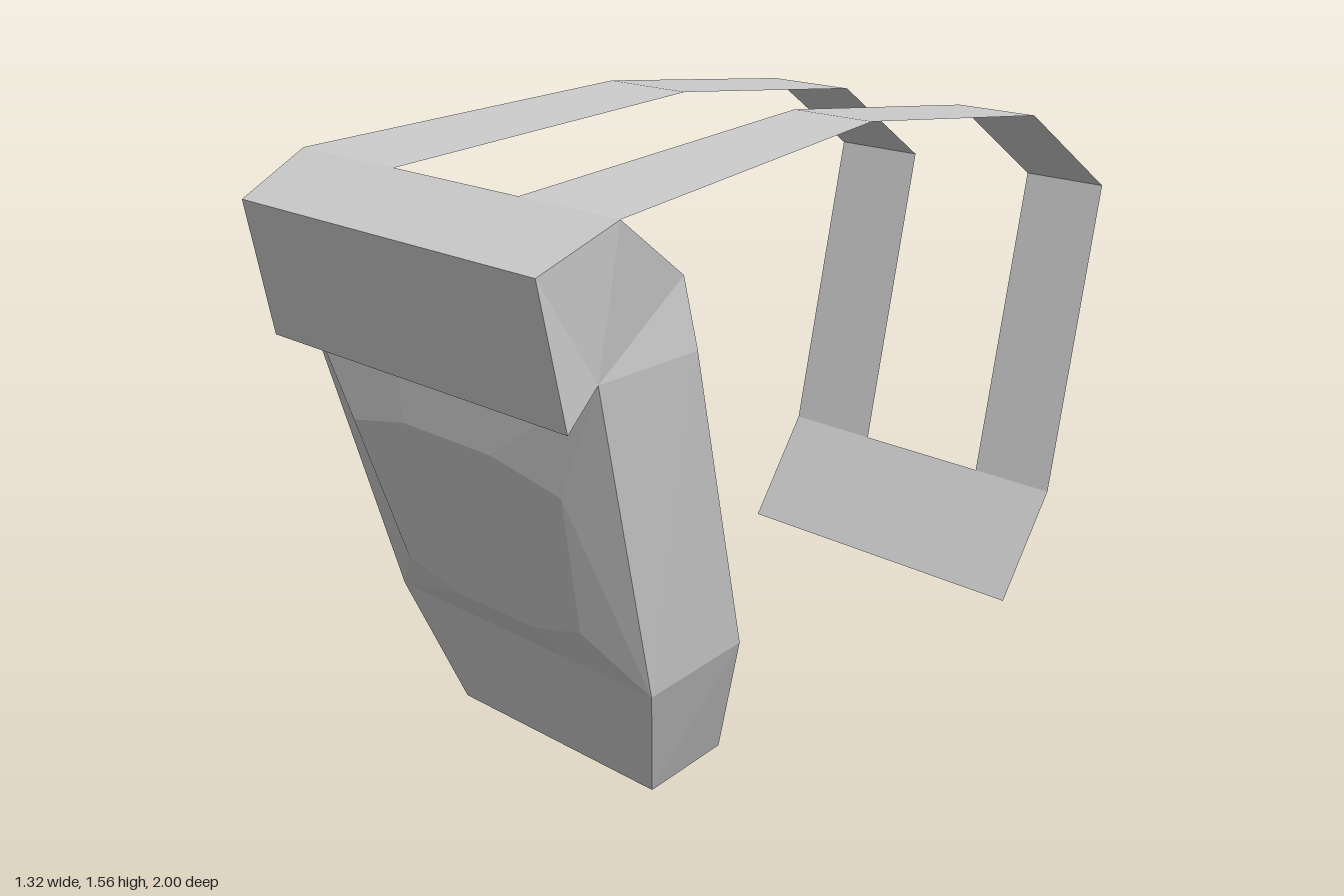
import * as THREE from 'three';

const sheet = new THREE.MeshStandardMaterial({ color: 0xcccccc, flatShading: true, side: THREE.DoubleSide });
const solid = new THREE.MeshStandardMaterial({ color: 0xcccccc, flatShading: true });

// Builds a faceted mesh from polygons, each fanned from its first corner
function polyMesh(name, polygons, material) {
  const pos = [];
  for (const p of polygons)
    for (let i = 1; i < p.length - 1; i++) pos.push(...p[0], ...p[i], ...p[i + 1]);
  const geo = new THREE.BufferGeometry();
  geo.setAttribute('position', new THREE.Float32BufferAttribute(pos, 3));
  geo.computeVertexNormals();
  const mesh = new THREE.Mesh(geo, material);
  mesh.name = name;
  return mesh;
}

// Ribbon through rows of [xMin, xMax, y, z]
function ribbon(name, rows) {
  const quads = [];
  for (let i = 0; i < rows.length - 1; i++) {
    const [a0, a1, ay, az] = rows[i], [b0, b1, by, bz] = rows[i + 1];
    quads.push([[a0, ay, az], [a1, ay, az], [b1, by, bz], [b0, by, bz]]);
  }
  return polyMesh(name, quads, sheet);
}

export function createModel() {
  const group = new THREE.Group();

  // Side outline of the pouch, rows of [xMin, xMax, y, z], from the front bottom edge round the back
  const rows = [
    [-0.40, 0.39, 0, 0.54],
    [-0.40, 0.39, 0.06, 0.335],
    [-0.555, 0.535, 0.38, 0.39],
    [-0.66, 0.63, 1.13, 0.59],
    [-0.64, 0.62, 1.30, 0.62],
    [-0.64, 0.66, 1.45, 0.82],
    [-0.635, 0.605, 1.34, 1.0],
    [-0.635, 0.605, 0.99, 0.925],
    [-0.63, 0.615, 1.09, 0.85],
    [-0.53, 0.52, 0.30, 0.64],
  ];
  const R = rows.map(([, x, y, z]) => [x, y, z]);
  const L = rows.map(([x, , y, z]) => [x, y, z]);

  // Pouch shell: strips across the width, leaving the front open for the bulging panel
  const shell = [];
  for (let i = 0; i < rows.length; i++) {
    if (i === 8) continue;
    const j = (i + 1) % rows.length;
    shell.push([R[i], L[i], L[j], R[j]]);
  }
  // Pouch and flap side walls
  for (const side of [[0, 1, 2, 9], [9, 2, 3, 8], [8, 3, 4, 5], [8, 5, 6, 7]]) {
    shell.push(side.map(i => R[i]));
    shell.push(side.map(i => L[i]).reverse());
  }
  group.add(polyMesh('pouch', shell, solid));

  // Front panel: outer rim joined to a raised inner octagon
  const outer = [
    L[8], L[9], [-0.18, 0.30, 0.64], [0.165, 0.30, 0.64],
    R[9], R[8], [0.19, 1.09, 0.85], [-0.21, 1.09, 0.85],
  ];
  const inner = [
    [-0.45, 0.79, 0.82], [-0.37, 0.43, 0.722], [-0.16, 0.385, 0.71], [0.15, 0.385, 0.71],
    [0.36, 0.43, 0.722], [0.43, 0.79, 0.82], [0.17, 0.835, 0.832], [-0.20, 0.835, 0.832],
  ];
  const panel = [inner];
  for (let i = 0; i < 8; i++) {
    const j = (i + 1) % 8;
    panel.push([outer[i], outer[j], inner[j], inner[i]]);
  }
  group.add(polyMesh('frontPanel', panel, solid));

  // Shoulder straps run back over the top, then down to the cross strap
  const path = [[1.45, 0.82], [1.56, -0.04], [1.50, -0.73], [1.29, -1.0], [0.475, -0.83]];
  const widths = {
    leftStrap: [[0.29, 0.66], [0.225, 0.50], [0.10, 0.37], [0.10, 0.37], [0.10, 0.37]],
    rightStrap: [[-0.64, -0.22], [-0.51, -0.20], [-0.645, -0.34], [-0.645, -0.34], [-0.645, -0.34]],
  };
  for (const [name, w] of Object.entries(widths))
    group.add(ribbon(name, path.map((p, i) => [...w[i], ...p])));

  // Cross strap behind the back
  group.add(ribbon('crossStrap', [[-0.645, 0.37, 0.475, -0.83], [-0.645, 0.37, 0.20, -0.67]]));

  return group;
}
